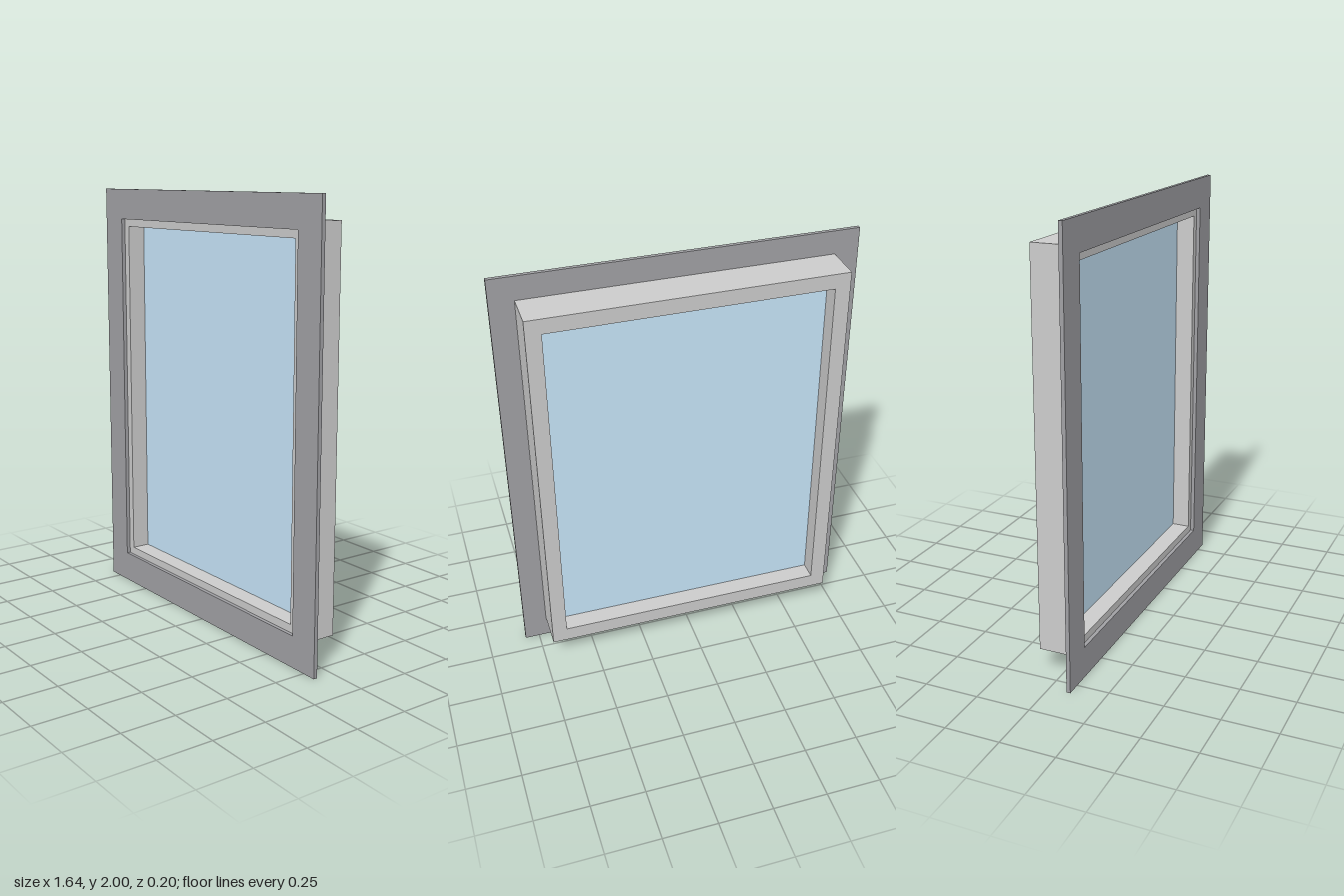
import * as THREE from 'three';

const HALF_W = 0.818; // half width of the whole window
const HALF_H = 1;

// Closed rectangle, inset from the outer edge of the window
function rectangle(target, inset) {
  const w = HALF_W - inset, h = HALF_H - inset;
  target.moveTo(-w, -h).lineTo(w, -h).lineTo(w, h).lineTo(-w, h).closePath();
  return target;
}

// Rectangular ring between two insets, from zBack to zFront
function ring(name, outer, inner, zBack, zFront, material) {
  const shape = rectangle(new THREE.Shape(), outer);
  shape.holes.push(rectangle(new THREE.Path(), inner));
  const geometry = new THREE.ExtrudeGeometry(shape, { depth: zFront - zBack, bevelEnabled: false });
  geometry.translate(0, HALF_H, zBack);
  const mesh = new THREE.Mesh(geometry, material);
  mesh.name = name;
  return mesh;
}

export function createModel() {
  const window = new THREE.Group();
  window.name = 'window';

  const frameMaterial = new THREE.MeshStandardMaterial({ color: 0xcccccc });
  const trimMaterial = new THREE.MeshStandardMaterial({ color: 0xa0a0a4 });
  const glassMaterial = new THREE.MeshStandardMaterial({ color: 0xc6e4f8 });

  // Flat trim on the wall face and the deep frame behind it
  window.add(ring('trim', 0, 0.144, 0.082, 0.1, trimMaterial));
  window.add(ring('frame', 0.11, 0.18, -0.1, 0.082, frameMaterial));

  // Pane set at mid depth of the frame
  const pane = new THREE.Mesh(
    new THREE.BoxGeometry(2 * (HALF_W - 0.18), 2 * (HALF_H - 0.18), 0.01),
    glassMaterial
  );
  pane.name = 'glassPane';
  pane.position.set(0, HALF_H, -0.009);
  window.add(pane);

  return window;
}
